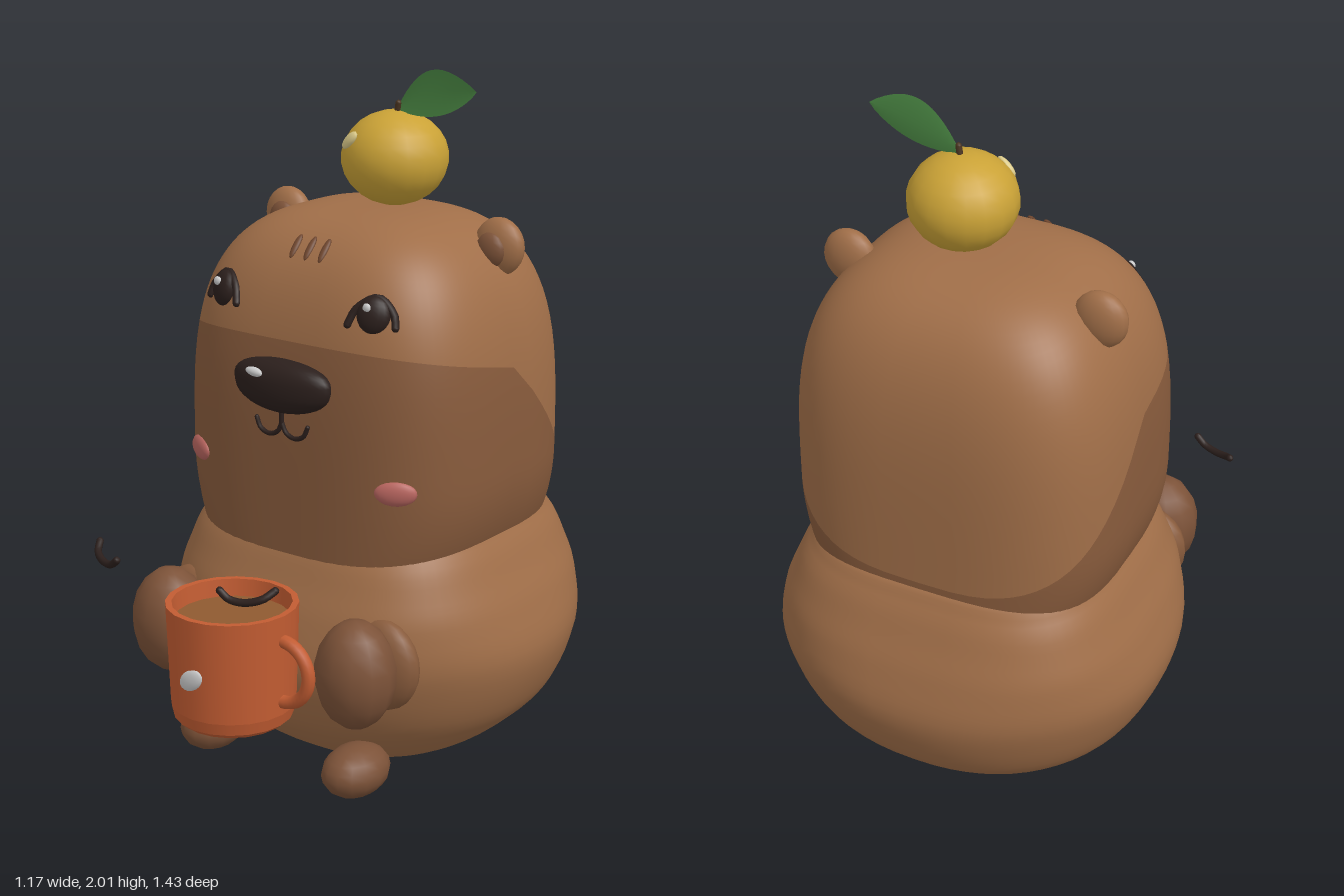
import * as THREE from 'three';

const FUR = 0xa06e48, MUZZLE = 0x885b3c, PAW = 0x7c5238, DARK = 0x2b1f1c, MUG = 0xc25c32;
const V = (x, y, z) => new THREE.Vector3(x, y, z);
const mat = (color, side = THREE.FrontSide) => new THREE.MeshStandardMaterial({ color, side });

function add(parent, name, geometry, color, side) {
  const mesh = new THREE.Mesh(geometry, mat(color, side));
  mesh.name = name;
  parent.add(mesh);
  return mesh;
}

// Ellipsoid with half-sizes s at position p
function ball(parent, name, color, p, s, rot = [0, 0, 0], seg = 16) {
  const mesh = add(parent, name, new THREE.SphereGeometry(1, seg, Math.ceil(seg * 0.7)), color);
  mesh.position.set(...p);
  mesh.scale.set(...s);
  mesh.rotation.set(...rot);
  return mesh;
}

// Round tube through points, with rounded ends
function cord(parent, name, color, points, r) {
  const g = new THREE.Group();
  g.name = name;
  parent.add(g);
  add(g, name + 'Line', new THREE.TubeGeometry(new THREE.CatmullRomCurve3(points), 14, r, 8), color);
  for (const p of [points[0], points[points.length - 1]]) ball(g, name + 'End', color, p.toArray(), [r, r, r], [0, 0, 0], 8);
}

// Smooth skin from rows of closed loops; at(row, angle) gives a point
function skin(rows, cols, at) {
  const pos = [], index = [];
  for (let i = 0; i <= rows; i++)
    for (let j = 0; j < cols; j++) pos.push(...at(i, (j / cols) * Math.PI * 2));
  for (let i = 0; i < rows; i++)
    for (let j = 0; j < cols; j++) {
      const a = i * cols + j, b = i * cols + ((j + 1) % cols);
      index.push(a, a + cols, b, b, a + cols, b + cols);
    }
  const g = new THREE.BufferGeometry();
  g.setAttribute('position', new THREE.Float32BufferAttribute(pos, 3));
  g.setIndex(index);
  g.computeVertexNormals();
  return g;
}
const sq = (v, n) => Math.sign(v) * Math.abs(v) ** (2 / n);

// Head shape: rounded-square section shrinking towards the crown
const TOP = 1.612, HZ = -0.135, HN = 3.2;
function headSize(y) {
  const f = Math.min(1, Math.max(0, (y - 0.9) / (TOP - 0.9)));
  const k = (1 - f ** 3.3) ** (1 / 3.1);
  const neck = 1 - 0.08 * (Math.max(0, 0.9 - y) / 0.2) ** 2;
  return [0.49 * k * neck, 0.432 * k];
}
function faceZ(x, y) {
  const [rx, rz] = headSize(y);
  return HZ + rz * (1 - Math.min(1, Math.abs(x) / rx) ** HN) ** (1 / HN);
}
const onFace = (x, y, out = 0) => V(x, y, faceZ(x, y) + out);

function makeHead(parent) {
  const LOW = 14, HIGH = 26, COLS = 72;
  const geo = skin(LOW + HIGH, COLS, (i, t) => {
    const z0 = HZ + 0.432 * sq(Math.sin(t), HN);
    const split = z0 > -0.15 ? 1.2 + (z0 + 0.15) * 0.2 : 1.2 + (z0 + 0.15) * 1.05;
    const y = i <= LOW ? 0.6 + (split - 0.6) * (i / LOW)
      : TOP - (TOP - split) * (1 - (i - LOW) / HIGH) ** 2.5;
    const [rx, rz] = headSize(y);
    return [rx * sq(Math.cos(t), HN), y, HZ + rz * sq(Math.sin(t), HN)];
  });
  // Two fur tones share the same smooth surface
  const all = Array.from(geo.index.array), cut = LOW * COLS * 6;
  const lower = geo.clone().setIndex(all.slice(0, cut));
  const upper = geo.clone().setIndex(all.slice(cut));
  add(parent, 'muzzleFur', lower, MUZZLE);
  add(parent, 'headFur', upper, FUR);
}

function makeBody(parent) {
  const profile = new THREE.SplineCurve([[0, 0], [0.25, 0], [0.34, 0.03], [0.44, 0.1], [0.53, 0.2], [0.585, 0.36],
    [0.554, 0.5], [0.51, 0.6], [0.459, 0.7], [0.38, 0.76], [0, 0.78]].map(p => new THREE.Vector2(...p)));
  const ROWS = 44;
  add(parent, 'body', skin(ROWS, 64, (i, t) => {
    const p = profile.getPoint(i / ROWS), r = Math.max(0, p.x);
    const n = 2.2 + THREE.MathUtils.smoothstep(p.y, 0.3, 0.7);
    return [r * sq(Math.cos(t), n), Math.max(0, p.y), -0.155 + 0.95 * r * sq(Math.sin(t), n)];
  }), FUR);
}

function makeFace(parent) {
  // Nose, wider at the top
  const nose = new THREE.SphereGeometry(1, 28, 18), p = nose.attributes.position;
  for (let i = 0; i < p.count; i++) {
    const x = p.getX(i), y = p.getY(i);
    p.setXYZ(i, 0.165 * x * (1 + 0.12 * y), 1.165 + 0.076 * sq(y, 2.5), 0.295 + 0.06 * p.getZ(i));
  }
  nose.computeVertexNormals();
  add(parent, 'nose', nose, DARK);
  ball(parent, 'noseShine', 0xd8d8d8, [-0.06, 1.205, 0.342], [0.034, 0.013, 0.012], [-0.4, 0, -0.1], 12);

  // Mouth
  cord(parent, 'mouthStem', DARK, [V(0, 1.1, 0.3), V(0, 1.05, 0.3)], 0.007);
  for (const s of [-1, 1]) {
    const side = s > 0 ? 'left' : 'right';
    cord(parent, side + 'Mouth', DARK, [[0, 1.06], [0.015, 1.032], [0.045, 1.02], [0.076, 1.032], [0.09, 1.06]]
      .map(([x, y]) => onFace(s * x, y, 0.003)), 0.007);
    // Eye with arched lash and shine
    const ez = faceZ(0.265, 1.39);
    ball(parent, side + 'Eye', DARK, [s * 0.262, 1.392, ez], [0.048, 0.052, 0.028], [-0.25, s * 0.4, 0]);
    ball(parent, side + 'EyeShine', 0xe0e0e0, [s * 0.262 - 0.008, 1.415, ez + 0.022], [0.013, 0.013, 0.008], [0, 0, 0], 10);
    cord(parent, side + 'Lash', DARK, [[0.325, 1.362], [0.315, 1.395], [0.265, 1.437], [0.212, 1.405], [0.195, 1.362]]
      .map(([x, y]) => onFace(s * x, y, 0.004)), 0.011);
    ball(parent, side + 'Cheek', 0xb8655f, [s * 0.348, 0.905, faceZ(0.348, 0.905) - 0.006],
      [0.06, 0.036, 0.02], [0, s * 0.5, 0]);
    // Ear
    ball(parent, side + 'Ear', FUR, [s * 0.376, 1.52, -0.21], [0.079, 0.083, 0.046]);
    ball(parent, side + 'InnerEar', PAW, [s * 0.37, 1.515, -0.175], [0.048, 0.05, 0.028], [0, 0, 0], 12);
  }
  // Forehead marks
  for (const x of [-0.05, 0, 0.05])
    ball(parent, 'foreheadMark', 0x6e452d, onFace(x, 1.53).toArray(), [0.011, 0.04, 0.009], [-0.75, 0, 0], 10);
}

function makeLimbs(parent) {
  for (const s of [-1, 1]) {
    const side = s > 0 ? 'left' : 'right';
    ball(parent, side + 'Arm', MUZZLE, [s * 0.34, 0.42, 0.29], [0.125, 0.135, 0.06]);
    ball(parent, side + 'Paw', PAW, [s * 0.336, 0.427, 0.405], [0.117, 0.158, 0.112], [0, 0, 0], 12);
    ball(parent, side + 'Foot', PAW, [s * 0.263, 0.08, 0.305], [0.088, 0.075, 0.117], [0, 0, 0], 14);
  }
}

function makeMug(parent) {
  const mug = new THREE.Group();
  mug.name = 'mug';
  mug.position.set(0, 0.255, 0.525);
  parent.add(mug);
  const wall = [[0, 0], [0.15, 0], [0.168, 0.015], [0.176, 0.05], [0.186, 0.345], [0.168, 0.345], [0.16, 0.27]];
  // Each straight run is its own lathe so that edges stay crisp
  for (let i = 0; i < wall.length - 1; i++)
    add(mug, 'mugWall', new THREE.LatheGeometry([wall[i], wall[i + 1]].map(p => new THREE.Vector2(...p)), 20), MUG);
  const drink = add(mug, 'drink', new THREE.CircleGeometry(0.167, 20), 0x8f5a30);
  drink.rotation.x = -Math.PI / 2;
  drink.position.y = 0.295;
  const handle = add(mug, 'mugHandle', new THREE.TorusGeometry(0.09, 0.019, 10, 18, Math.PI), MUG);
  handle.rotation.z = -Math.PI / 2;
  handle.position.set(0.177, 0.18, 0);
  ball(mug, 'mugShine', 0xd0d0d0, [0, 0.168, 0.178], [0.045, 0.028, 0.012], [0, 0, 0.6], 12);
}

function makeFruit(parent) {
  ball(parent, 'fruit', 0xcaa236, [0.055, 1.745, -0.153], [0.154, 0.135, 0.154], [0, 0, 0], 18);
  ball(parent, 'fruitShine', 0xdccb8a, [-0.015, 1.802, -0.032], [0.036, 0.02, 0.012], [-0.5, -0.5, 0.5], 12);
  cord(parent, 'stem', 0x4a3420, [V(0.06, 1.86, -0.153), V(0.068, 1.9, -0.15)], 0.009);
  // Leaf, gently bent and creased along the middle
  const pos = [], index = [], N = 14;
  for (let i = 0; i <= N; i++) {
    const t = i / N, w = 0.065 * Math.sin(Math.PI * t) ** 0.85;
    const x = 0.062 + 0.283 * t, y = 1.882 + 0.075 * t + 0.022 * Math.sin(Math.PI * t);
    const z = -0.153 + 0.025 * t * t;
    for (const k of [-1, 0, 1]) pos.push(x - 0.25 * w * k, y + 0.95 * w * k, z + 0.01 * Math.abs(k) * Math.sin(Math.PI * t));
    if (i) for (const k of [0, 1]) {
      const a = (i - 1) * 3 + k;
      index.push(a, a + 3, a + 1, a + 1, a + 3, a + 4);
    }
  }
  const leaf = new THREE.BufferGeometry();
  leaf.setAttribute('position', new THREE.Float32BufferAttribute(pos, 3));
  leaf.setIndex(index);
  leaf.computeVertexNormals();
  add(parent, 'leaf', leaf, 0x4c8a45, THREE.DoubleSide);
}

export function createModel() {
  const model = new THREE.Group();
  model.name = 'animalWithMug';
  makeBody(model);
  makeHead(model);
  makeFace(model);
  makeLimbs(model);
  makeMug(model);
  makeFruit(model);
  // Two small floating curls by the mug
  const curl = [[-0.515, 0.655, 0.505], [-0.495, 0.635, 0.535], [-0.45, 0.622, 0.56], [-0.405, 0.628, 0.575], [-0.38, 0.648, 0.58]];
  cord(model, 'rightCurl', DARK, curl.map(p => V(...p)), 0.011);
  cord(model, 'leftCurl', DARK, curl.map(([x, y, z]) => V(-x - 0.377, y, z)), 0.011);
  return model;
}
